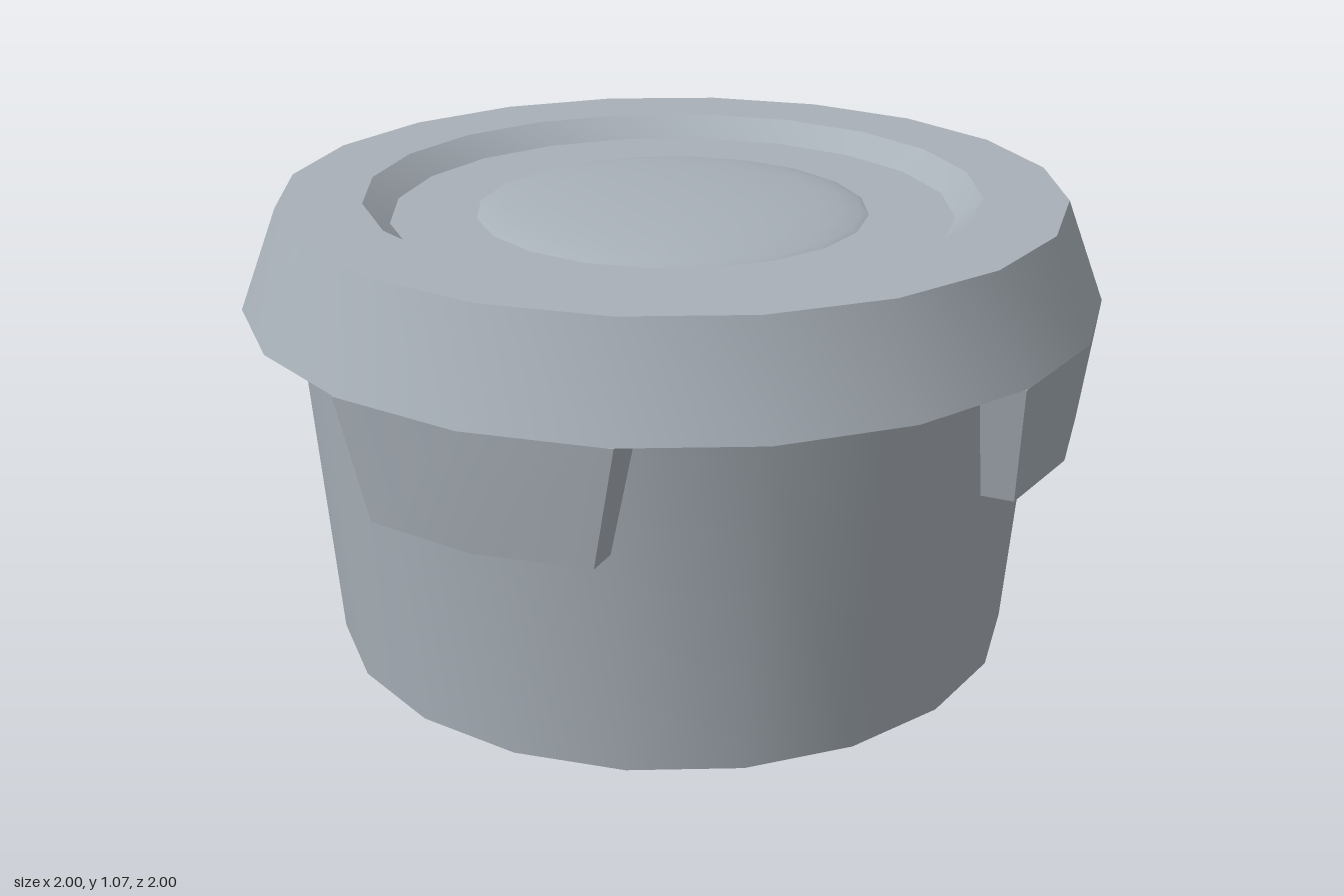
import * as THREE from 'three';
import { toCreasedNormals } from 'three/addons/utils/BufferGeometryUtils.js';

const SIDES = 20;
const FACET = Math.tan(Math.PI / SIDES); // inward slope of one rim facet

// Turned part: profile of [radius, y], smooth around and sharp between bands
function turned(name, profile, material) {
  const points = profile.map(([r, y]) => new THREE.Vector2(r, y));
  const mesh = new THREE.Mesh(toCreasedNormals(new THREE.LatheGeometry(points, SIDES), 0.5), material);
  mesh.name = name;
  return mesh;
}

// Tapered grip tab hanging under the rim on the +x side
function tabGeometry() {
  const section = (y, radius, w) => [
    [0.85, -w], [radius - w * FACET, -w], [radius, 0], [radius - w * FACET, w], [0.85, w],
  ].map(([x, z]) => [x, y, z]);
  const low = section(0.55, 0.965, 0.26);
  const high = section(0.83, 1.0, 0.32);
  const positions = [];
  const n = low.length;
  for (let i = 0; i < n; i++) {
    const j = (i + 1) % n;
    positions.push(...low[i], ...high[i], ...low[j], ...low[j], ...high[i], ...high[j]);
  }
  for (let i = 1; i < n - 1; i++) {
    positions.push(...low[0], ...low[i], ...low[i + 1]);
    positions.push(...high[0], ...high[i + 1], ...high[i]);
  }
  const geometry = new THREE.BufferGeometry();
  geometry.setAttribute('position', new THREE.Float32BufferAttribute(positions, 3));
  return toCreasedNormals(geometry, 0.5);
}

export function createModel() {
  const model = new THREE.Group();
  model.name = 'roundCap';
  const grey = new THREE.MeshStandardMaterial({ color: 0xa8b0b8 });
  grey.name = 'steelGrey';

  // Tapered plug with a closed bottom
  model.add(turned('body', [[0, 0], [0.815, 0], [0.878, 0.83]], grey));

  // Bevelled rim with a shallow recess in the top
  model.add(turned('rim', [
    [0.86, 0.83], [1, 0.83], [0.91, 1.065], [0.715, 1.065], [0.655, 1.015], [0, 1.015],
  ], grey));

  // Low dome rising from the recess floor
  const dome = new THREE.Mesh(
    new THREE.SphereGeometry(1, SIDES, 8, 0, Math.PI * 2, 0, Math.PI / 2), grey);
  dome.name = 'dome';
  dome.scale.set(0.48, 0.069, 0.48);
  dome.position.y = 0.995;
  model.add(dome);

  // Four tabs around the rim
  const tab = tabGeometry();
  for (let i = 0; i < 4; i++) {
    const mesh = new THREE.Mesh(tab, grey);
    mesh.name = 'tab' + (i + 1);
    mesh.rotation.y = i * Math.PI / 2;
    model.add(mesh);
  }
  return model;
}
